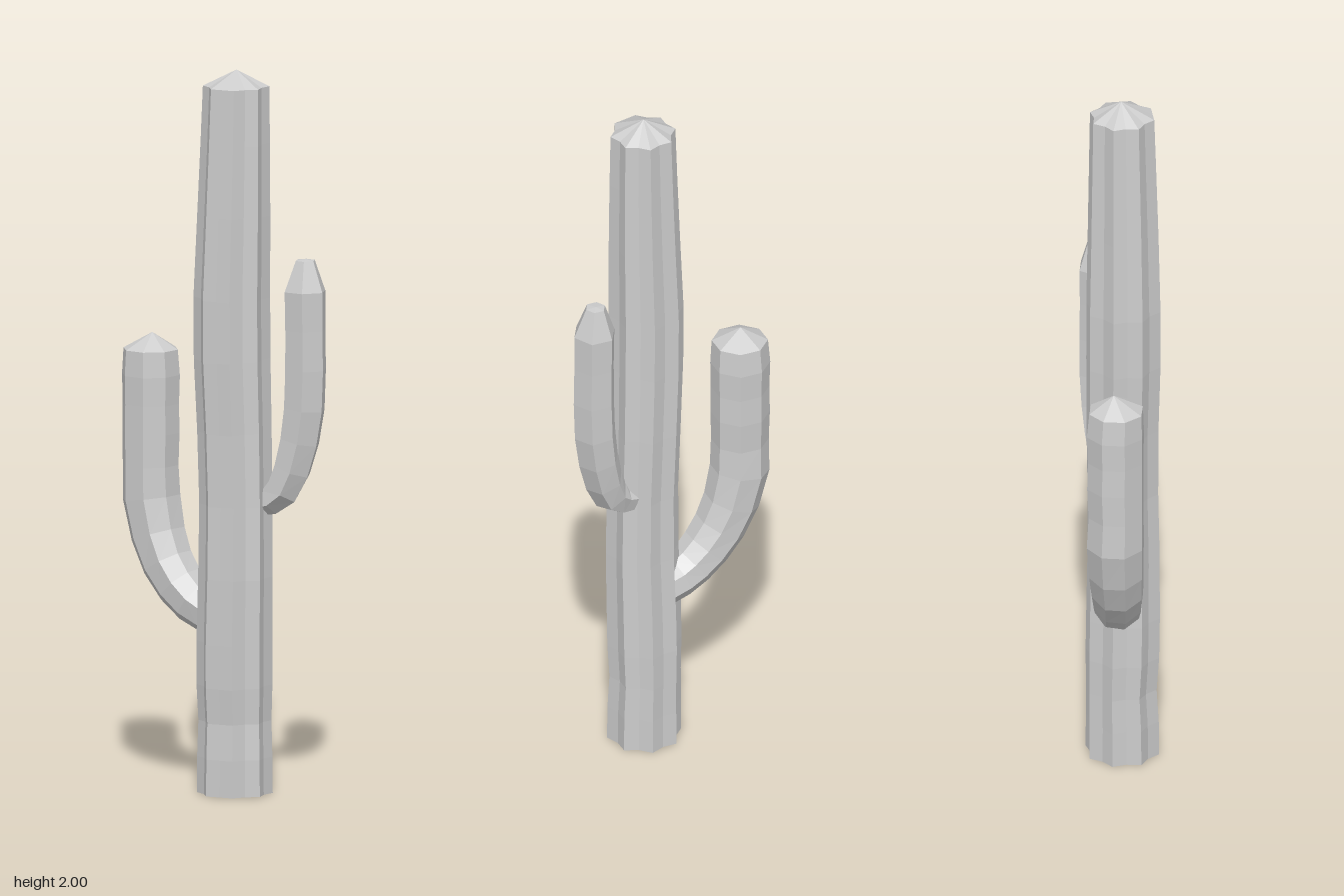
import * as THREE from 'three';

// Lofts a closed, faceted stem through rings [x, y, z, radius].
// profile holds one radius factor per corner; tip is the apex point.
function stem(name, rings, profile, phase, tip) {
  const n = profile.length;
  const pos = [], idx = [];
  const zAxis = new THREE.Vector3(0, 0, 1);
  const centres = rings.map(([x, y, z]) => new THREE.Vector3(x, y, z));
  rings.forEach(([, , , r], i) => {
    const a = centres[Math.max(i - 1, 0)];
    const b = centres[Math.min(i + 1, rings.length - 1)];
    const t = b.clone().sub(a);
    // the first and last rings of upright stems lie flat
    if (i === rings.length - 1 || rings[i][1] === 0) t.set(0, 1, 0);
    t.normalize();
    const u = new THREE.Vector3().crossVectors(t, zAxis).normalize();
    const v = new THREE.Vector3().crossVectors(u, t);
    profile.forEach((f, j) => {
      const ang = phase + (j / n) * Math.PI * 2;
      const p = centres[i].clone()
        .addScaledVector(u, Math.cos(ang) * r * f)
        .addScaledVector(v, Math.sin(ang) * r * f);
      pos.push(p.x, p.y, p.z);
    });
  });
  const last = (rings.length - 1) * n;
  const bottom = rings.length * n;
  pos.push(...rings[0].slice(0, 3), ...tip);
  for (let j = 0; j < n; j++) {
    const k = (j + 1) % n;
    for (let i = 0; i < rings.length - 1; i++) {
      const a = i * n + j, b = i * n + k;
      idx.push(a, a + n, b, b, a + n, b + n);
    }
    idx.push(bottom, j, k);                       // closed foot
    idx.push(last + j, bottom + 1, last + k);     // pointed cap
  }
  const indexed = new THREE.BufferGeometry();
  indexed.setAttribute('position', new THREE.Float32BufferAttribute(pos, 3));
  indexed.setIndex(idx);
  const geo = indexed.toNonIndexed();
  geo.computeVertexNormals();
  const mesh = new THREE.Mesh(geo, new THREE.MeshStandardMaterial({ color: 0xcccccc, flatShading: true }));
  mesh.name = name;
  return mesh;
}

export function createModel() {
  const group = new THREE.Group();
  group.name = 'cactus';

  // trunk: eight ridges with grooves between, one flat face to the front
  const trunkProfile = Array.from({ length: 16 }, (_, j) => (j % 2 ? 0.85 : 1));
  trunkProfile[3] = 0.92;
  group.add(stem('trunk', [
    [0.053, 0, 0.02, 0.104],
    [0.053, 0.1, 0.02, 0.103],
    [0.052, 0.2, 0.017, 0.1],
    [0.052, 0.3, 0.02, 0.104],
    [0.053, 0.42, 0.022, 0.104],
    [0.057, 0.6, 0.024, 0.102],
    [0.057, 0.8, 0.022, 0.1],
    [0.052, 1.0, 0.02, 0.102],
    [0.046, 1.2, 0.022, 0.105],
    [0.045, 1.37, 0.022, 0.105],
    [0.051, 1.6, 0.022, 0.1],
    [0.055, 1.8, 0.021, 0.095],
    [0.057, 1.955, 0.02, 0.091],
  ], trunkProfile, Math.PI / 8, [0.057, 2, 0.017]));

  // thick arm on the right side, curving up from low on the trunk
  group.add(stem('rightArm', [
    [0.03, 0.475, -0.005, 0.06],
    [-0.04, 0.492, -0.008, 0.062],
    [-0.085, 0.517, -0.01, 0.066],
    [-0.13, 0.558, -0.015, 0.07],
    [-0.172, 0.615, -0.022, 0.074],
    [-0.205, 0.69, -0.03, 0.078],
    [-0.228, 0.79, -0.036, 0.082],
    [-0.23, 0.88, -0.034, 0.079],
    [-0.23, 0.97, -0.036, 0.081],
    [-0.23, 1.05, -0.035, 0.08],
    [-0.23, 1.13, -0.036, 0.082],
    [-0.23, 1.2, -0.034, 0.077],
  ], Array(8).fill(1), 0.6, [-0.228, 1.245, -0.04]));

  // slimmer arm on the left side, higher up, with a blunt tip
  group.add(stem('leftArm', [
    [0.1, 0.8, -0.005, 0.035],
    [0.15, 0.815, -0.005, 0.044],
    [0.185, 0.842, -0.008, 0.051],
    [0.212, 0.9, -0.012, 0.055],
    [0.233, 0.98, -0.016, 0.058],
    [0.246, 1.07, -0.018, 0.06],
    [0.25, 1.18, -0.018, 0.06],
    [0.249, 1.29, -0.018, 0.059],
    [0.248, 1.395, -0.018, 0.06],
    [0.247, 1.48, -0.022, 0.028],
  ], Array(6).fill(1), 0.2, [0.247, 1.483, -0.024]));

  return group;
}
